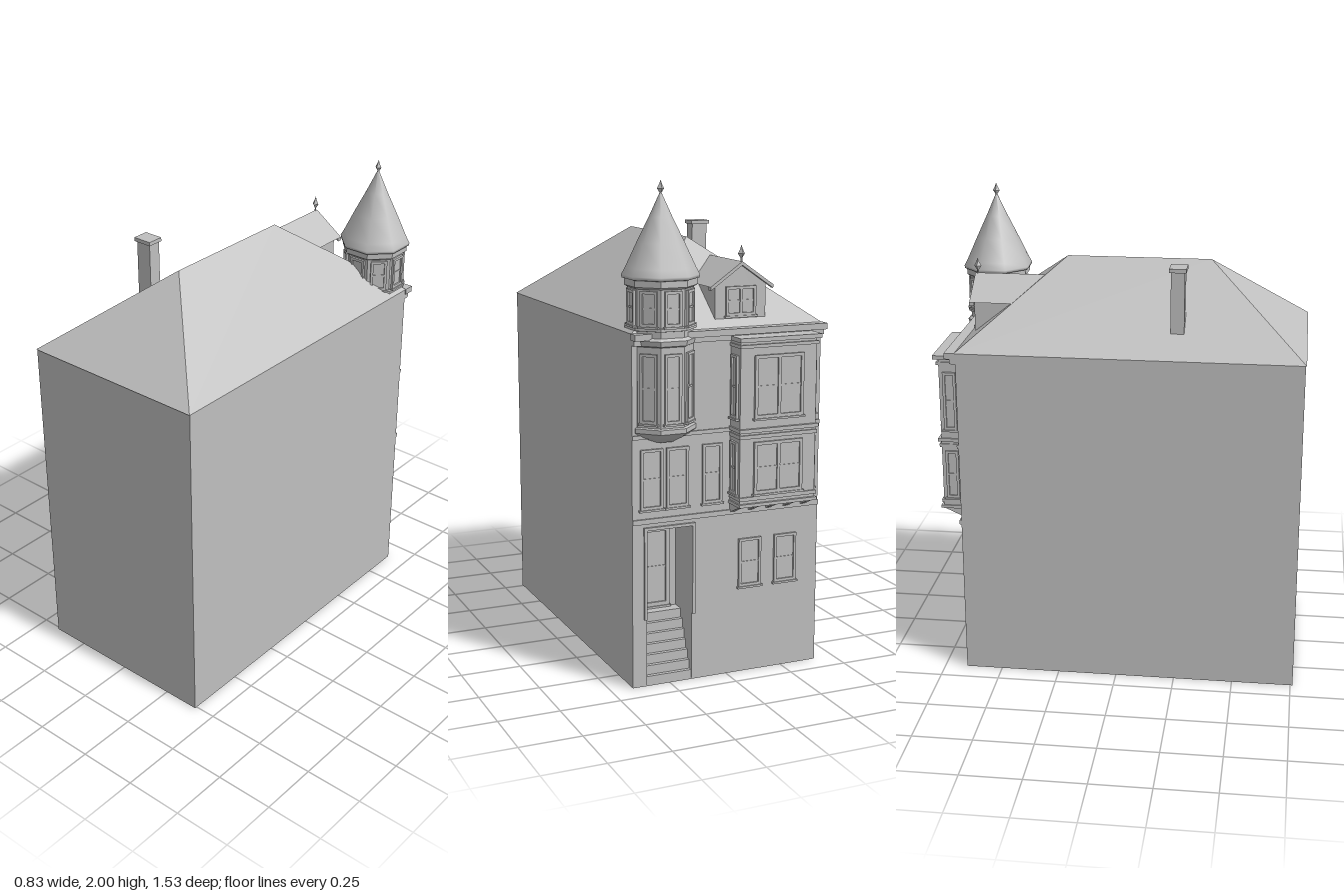
import * as THREE from 'three';
import { toCreasedNormals } from 'three/addons/utils/BufferGeometryUtils.js';

const stone = new THREE.MeshStandardMaterial({ color: 0xbfbfbf, side: THREE.DoubleSide });
stone.name = 'paleGrey';

const WALL = -0.655; // street facade plane
const OCT = Math.PI / 8;

function add(parent, name, geo, x = 0, y = 0, z = 0) {
  const m = new THREE.Mesh(geo, stone);
  m.name = name;
  m.position.set(x, y, z);
  parent.add(m);
  return m;
}

// Box given by its limits
function box(parent, name, x0, x1, y0, y1, z0, z1) {
  return add(parent, name, new THREE.BoxGeometry(x1 - x0, y1 - y0, z1 - z0),
    (x0 + x1) / 2, (y0 + y1) / 2, (z0 + z1) / 2);
}

// Flat-faced surface from convex polygons
function faces(polys) {
  const p = [];
  for (const f of polys)
    for (let i = 1; i < f.length - 1; i++) p.push(...f[0], ...f[i], ...f[i + 1]);
  const g = new THREE.BufferGeometry();
  g.setAttribute('position', new THREE.Float32BufferAttribute(p, 3));
  g.computeVertexNormals();
  return g;
}

function rectPath(path, x0, y0, x1, y1) {
  path.moveTo(x0, y0);
  path.lineTo(x1, y0);
  path.lineTo(x1, y1);
  path.lineTo(x0, y1);
  path.closePath();
  return path;
}

// Framed sash window, centred at its own origin and facing +z
function sashWindow(w, h, cols = 1, t = 0.011) {
  const g = new THREE.Group();
  g.name = 'window';
  const frame = rectPath(new THREE.Shape(), -w / 2, -h / 2, w / 2, h / 2);
  const cw = (w - t * (cols + 1)) / cols;
  for (let i = 0; i < cols; i++) {
    const x = -w / 2 + t + i * (cw + t);
    frame.holes.push(rectPath(new THREE.Path(), x, -h / 2 + t, x + cw, h / 2 - t));
    box(g, 'meetingRail', x, x + cw, -0.004, 0.004, 0, 0.006);
  }
  add(g, 'frame', new THREE.ExtrudeGeometry(frame, { depth: 0.01, bevelEnabled: false }));
  box(g, 'pane', -w / 2 + t, w / 2 - t, -h / 2 + t, h / 2 - t, 0, 0.003);
  box(g, 'sill', -w / 2 - 0.006, w / 2 + 0.006, -h / 2 - 0.008, -h / 2, 0, 0.015);
  return g;
}

function place(parent, win, x, y, z, turn) {
  win.position.set(x, y, z);
  win.rotation.y = turn;
  parent.add(win);
}

// Octagonal turned piece with flats facing the axes; profile holds [apothem, y]
function octagon(parent, name, profile, x, z, smooth = false) {
  const pts = profile.map(([r, y]) => new THREE.Vector2(r / Math.cos(OCT), y));
  let geo = new THREE.LatheGeometry(pts, 8, OCT);
  if (!smooth) geo = toCreasedNormals(geo, 0.4);
  return add(parent, name, geo, x, 0, z);
}

function finial(parent, x, y, z, h) {
  const pts = [[0.004, 0], [0.004, 0.25], [0.015, 0.5], [0.006, 0.75], [0, 1]]
    .map(([r, t]) => new THREE.Vector2(r, t * h));
  add(parent, 'finial', toCreasedNormals(new THREE.LatheGeometry(pts, 4), 0.4), x, y, z);
}

export function createModel() {
  const house = new THREE.Group();
  house.name = 'townhouse';

  // Open-bottomed shell, with the doorway cut from the facade
  const X = 0.41, F = 0.76, H = 1.425;
  add(house, 'walls', faces([
    [[-X, 0, F], [X, 0, F], [X, H, F], [-X, H, F]],
    [[X, 0, F], [X, 0, WALL], [X, H, WALL], [X, H, F]],
    [[-X, 0, WALL], [-X, 0, F], [-X, H, F], [-X, H, WALL]],
  ]));
  const D0 = 0.155, D1 = 0.35, DT = 0.645, DZ = WALL + 0.16;
  const facade = rectPath(new THREE.Shape(), -X, 0, X, H);
  facade.holes.push(rectPath(new THREE.Path(), -D1, 0.005, -D0, DT));
  add(house, 'facade', new THREE.ShapeGeometry(facade), 0, 0, WALL).rotation.y = Math.PI;

  // Hipped roof
  const e = 0.412, b = -0.66, f = 0.764, r0 = [0, 1.75, -0.25], r1 = [0, 1.75, 0.355];
  add(house, 'mainRoof', faces([
    [[-e, H, f], [e, H, f], r1],
    [[e, H, f], [e, H, b], r0, r1],
    [[e, H, b], [-e, H, b], r0],
    [[-e, H, b], [-e, H, f], r1, r0],
  ]));

  // Chimney
  const chimney = new THREE.Group();
  chimney.name = 'chimney';
  house.add(chimney);
  box(chimney, 'stack', -0.306, -0.237, 1.48, 1.765, 0.212, 0.268);
  box(chimney, 'cap', -0.315, -0.23, 1.762, 1.778, 0.205, 0.275);

  // Recessed entry with steep stairs
  const entry = new THREE.Group();
  entry.name = 'entry';
  house.add(entry);
  add(entry, 'recess', faces([
    [[D0, 0, WALL], [D0, 0, DZ], [D0, DT, DZ], [D0, DT, WALL]],
    [[D1, 0, DZ], [D1, 0, WALL], [D1, DT, WALL], [D1, DT, DZ]],
    [[D1, 0, DZ], [D1, DT, DZ], [D0, DT, DZ], [D0, 0, DZ]],
    [[D0, DT, WALL], [D0, DT, DZ], [D1, DT, DZ], [D1, DT, WALL]],
  ]));
  for (let i = 0; i < 7; i++)
    box(entry, 'step', D0, D1, i * 0.038, (i + 1) * 0.038, WALL + 0.005 + i * 0.017, DZ);
  const door = sashWindow(0.13, 0.33, 1, 0.016);
  door.name = 'door';
  place(entry, door, (D0 + D1) / 2, 0.44, DZ - 0.002, Math.PI);
  for (const x of [D0 - 0.012, D1])
    box(entry, 'doorPilaster', x, x + 0.012, 0.28, DT + 0.01, WALL - 0.01, WALL);
  box(entry, 'doorHead', D0 - 0.012, D1 + 0.012, DT, DT + 0.012, WALL - 0.01, WALL);

  // Facade mouldings
  box(house, 'beltCourse', -X, X, 0.672, 0.692, WALL - 0.008, WALL);
  box(house, 'upperBelt', -X, X, 1.012, 1.028, WALL - 0.007, WALL);
  box(house, 'cornice', -0.415, 0.415, 1.402, 1.427, -0.7, WALL);
  box(house, 'corniceBed', -X, X, 1.38, 1.402, -0.68, WALL);

  // Facade windows: centre x, centre y, width, height
  for (const [x, y, w, h] of [
    [-0.1, 0.465, 0.1, 0.2], [-0.26, 0.465, 0.1, 0.2],
    [0.33, 0.85, 0.095, 0.24], [0.22, 0.85, 0.095, 0.24], [0.07, 0.85, 0.085, 0.24],
  ]) place(house, sashWindow(w, h), x, y, WALL, Math.PI);

  // Two-storey box bay on brackets
  const bay = new THREE.Group();
  bay.name = 'bay';
  house.add(bay);
  const B0 = -0.345, B1 = -0.01, BZ = -0.742;
  box(bay, 'bayBody', B0, B1, 0.72, 1.385, BZ, WALL);
  for (const [y0, y1, o] of [[0.72, 0.733, 0.012], [0.745, 0.76, 0.008], [0.995, 1.01, 0.008],
    [1.02, 1.035, 0.013], [1.355, 1.368, 0.01], [1.38, 1.397, 0.022]])
    box(bay, 'bayMoulding', B0 - o * 0.5, B1 + o * 0.5, y0, y1, BZ - o, WALL);
  for (const y of [0.875, 1.2]) {
    const h = y < 1 ? 0.21 : 0.25;
    place(bay, sashWindow(0.215, h, 2, 0.013), (B0 + B1) / 2, y, BZ, Math.PI);
    place(bay, sashWindow(0.055, h), B1, y, (BZ + WALL) / 2, Math.PI / 2);
    place(bay, sashWindow(0.055, h), B0, y, (BZ + WALL) / 2, -Math.PI / 2);
  }
  const wedge = new THREE.Shape([[0, 0.68], [0, 0.722], [0.093, 0.722]]
    .map(([x, y]) => new THREE.Vector2(x, y)));
  const wedgeGeo = new THREE.ExtrudeGeometry(wedge, { depth: 0.02, bevelEnabled: false });
  for (let i = 0; i < 5; i++)
    add(bay, 'bracket', wedgeGeo, B0 + 0.02 + i * 0.0788, 0, WALL).rotation.y = Math.PI / 2;
  for (const m of bay.children.filter((c) => c.name === 'bracket')) m.position.x -= 0.02;

  // Corner turret: oriel, belvedere, conical roof
  const turret = new THREE.Group();
  turret.name = 'turret';
  house.add(turret);
  const tx = 0.27, tz = -0.608, A = 0.118;
  octagon(turret, 'oriel', [[0.06, 0.995], [0.105, 1.02], [0.128, 1.04], [0.128, 1.058],
    [A, 1.062], [A, 1.375], [0.128, 1.38], [0.132, 1.4], [A, 1.41], [A, 1.435],
    [0.128, 1.437], [0.128, 1.448], [A, 1.45], [A, 1.595], [0.13, 1.603], [0.13, 1.632]], tx, tz);
  for (let i = 0; i < 8; i++) {
    const a = i * Math.PI / 4, x = tx + Math.sin(a) * A, z = tz + Math.cos(a) * A;
    place(turret, sashWindow(0.07, 0.135), x, 1.522, z, a);
    if (i >= 3 && i <= 5) place(turret, sashWindow(0.07, 0.27), x, 1.215, z, a);
  }
  octagon(turret, 'turretRoof', [[0.12, 1.625], [0.138, 1.63], [0.14, 1.642], [0.126, 1.67],
    [0.085, 1.765], [0.042, 1.86], [0.004, 1.95]], tx, tz, true);
  finial(turret, tx, 1.935, tz, 0.065);

  // Dormer
  const dormer = new THREE.Group();
  dormer.name = 'dormer';
  dormer.position.x = -0.066;
  house.add(dormer);
  const gable = new THREE.Shape([[-0.11, 1.44], [0.11, 1.44], [0.11, 1.593], [0, 1.67], [-0.11, 1.593]]
    .map(([x, y]) => new THREE.Vector2(x, y)));
  add(dormer, 'dormerBody', new THREE.ExtrudeGeometry(gable, { depth: 0.25, bevelEnabled: false }), 0, 0, -0.62);
  for (const s of [-1, 1]) {
    const slope = new THREE.Shape([[0, 1.68], [0.136 * s, 1.585], [0.136 * s, 1.57], [0, 1.665]]
      .map(([x, y]) => new THREE.Vector2(x, y)));
    add(dormer, 'rake', new THREE.ExtrudeGeometry(slope, { depth: 0.02, bevelEnabled: false }), 0, 0, -0.636);
    add(dormer, 'dormerRoof', faces([
      [[0, 1.68, -0.636], [0, 1.68, -0.338], [0.136 * s, 1.585, -0.455], [0.136 * s, 1.585, -0.636]]
        .slice()[s > 0 ? 'slice' : 'reverse'](),
    ]));
  }
  place(dormer, sashWindow(0.13, 0.115, 2), 0, 1.525, -0.62, Math.PI);
  finial(dormer, 0, 1.675, -0.625, 0.07);

  return house;
}
